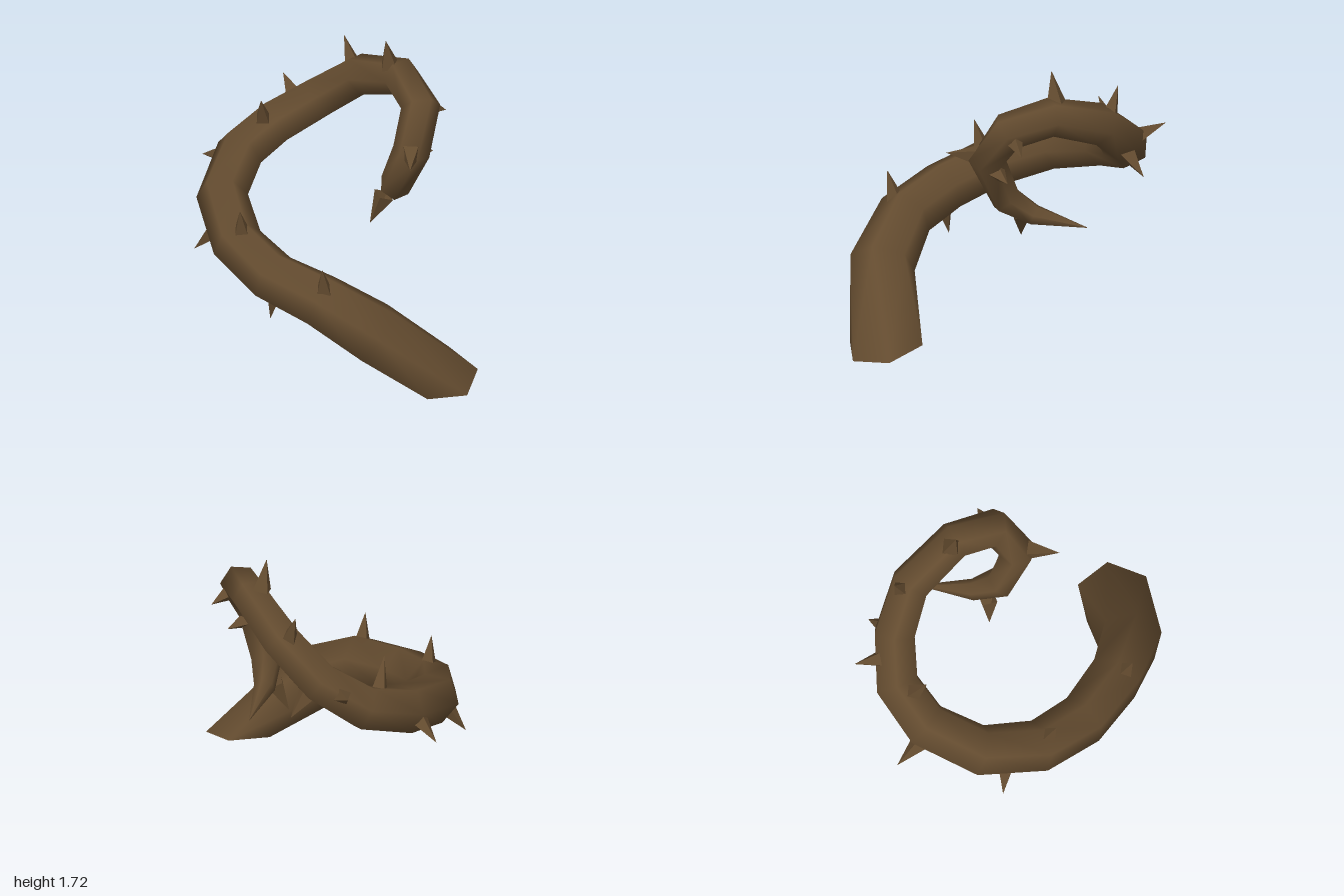
import * as THREE from 'three';

const bark = new THREE.MeshStandardMaterial({ color: 0x634b2f, side: THREE.DoubleSide });
bark.name = 'brown bark';

const V = (a) => new THREE.Vector3(a[0], a[1], a[2]);
const SIDES = 6;

// Centre line of the curling vine: x, y, z, radius
const rings = [
  [0.07, 0.05, 0.78, 0.235],
  [-0.26, 0.38, 0.60, 0.19],
  [-0.43, 0.55, 0.34, 0.165],
  [-0.52, 0.61, 0.03, 0.155],
  [-0.505, 0.69, -0.28, 0.15],
  [-0.34, 0.80, -0.58, 0.148],
  [-0.05, 0.90, -0.74, 0.145],
  [0.22, 0.99, -0.73, 0.14],
  [0.42, 1.14, -0.58, 0.13],
  [0.54, 1.34, -0.36, 0.123],
  [0.545, 1.47, -0.03, 0.113],
  [0.47, 1.41, 0.21, 0.113],
  [0.34, 1.19, 0.27, 0.108],
  [0.335, 0.91, 0.14, 0.092],
  [0.43, 0.815, 0.01, 0.062],
  [0.66, 0.775, -0.20, 0.002],
];

// Tapering six-sided tube, its frame carried along the centre line
function vineGeometry() {
  const pos = [], index = [];
  const pts = rings.map(V);
  const e1 = new THREE.Vector3(0.02, -0.1, 0.44);
  pts.forEach((p, i) => {
    const t = new THREE.Vector3();
    if (i === 0) t.set(-0.05, 0.97, 0.22); // cut almost level at the foot
    else {
      t.copy(p).sub(pts[i - 1]).normalize();
      if (i < pts.length - 1) t.add(pts[i + 1].clone().sub(p).normalize());
    }
    t.normalize();
    e1.addScaledVector(t, -e1.dot(t)).normalize();
    const e2 = t.clone().cross(e1);
    for (let k = 0; k < SIDES; k++) {
      const a = (k / SIDES) * Math.PI * 2;
      const q = p.clone()
        .addScaledVector(e1, rings[i][3] * Math.cos(a))
        .addScaledVector(e2, rings[i][3] * Math.sin(a));
      pos.push(q.x, q.y, q.z);
      if (i > 0) {
        const n = (k + 1) % SIDES, a0 = (i - 1) * SIDES, b0 = i * SIDES;
        index.push(a0 + k, a0 + n, b0 + n, a0 + k, b0 + n, b0 + k);
      }
    }
  });
  const g = new THREE.BufferGeometry();
  g.setAttribute('position', new THREE.Float32BufferAttribute(pos, 3));
  g.setIndex(index);
  g.computeVertexNormals();
  return g;
}

// Thorns: root on the centre line, then tip
const thorns = [
  [[0.52, 1.47, -0.09], [0.47, 1.72, -0.08]],
  [[-0.50, 0.70, -0.24], [-0.56, 0.96, -0.20]],
  [[-0.44, 0.56, 0.38], [-0.50, 0.82, 0.42]],
  [[0.14, 0.96, -0.74], [0.04, 1.24, -0.66]],
  [[0.54, 1.30, -0.40], [0.53, 1.55, -0.49]],
  [[0.34, 1.08, -0.66], [0.42, 1.17, -0.88]],
  [[-0.09, 0.89, -0.74], [-0.10, 0.79, -1.0]],
  [[0.45, 1.13, -0.56], [0.63, 0.98, -0.60]],
  [[-0.43, 0.74, -0.45], [-0.55, 0.53, -0.59]],
  [[-0.51, 0.61, 0.05], [-0.51, 0.31, 0.0]],
  [[0.47, 1.41, 0.20], [0.65, 1.32, 0.23]],
  [[0.35, 1.15, 0.25], [0.53, 1.11, 0.25]],
  [[0.35, 1.22, 0.26], [0.17, 1.21, 0.44]],
  [[0.36, 0.86, 0.06], [0.27, 0.62, 0.0]],
];

// Faceted four-sided spike starting just under the bark
function thorn([root, tip]) {
  const end = V(tip), start = V(root).lerp(end, 0.25);
  const dir = end.clone().sub(start), len = dir.length();
  const g = new THREE.ConeGeometry(0.062, len, 4, 1, true).toNonIndexed();
  g.translate(0, len / 2, 0);
  g.computeVertexNormals();
  const m = new THREE.Mesh(g, bark);
  m.name = 'thorn';
  m.position.copy(start);
  m.quaternion.setFromUnitVectors(new THREE.Vector3(0, 1, 0), dir.normalize());
  return m;
}

export function createModel() {
  const model = new THREE.Group();
  model.name = 'thornyVine';
  const vine = new THREE.Mesh(vineGeometry(), bark);
  vine.name = 'vine';
  const spikes = new THREE.Group();
  spikes.name = 'thorns';
  thorns.forEach((t) => spikes.add(thorn(t)));
  model.add(vine, spikes);
  return model;
}
